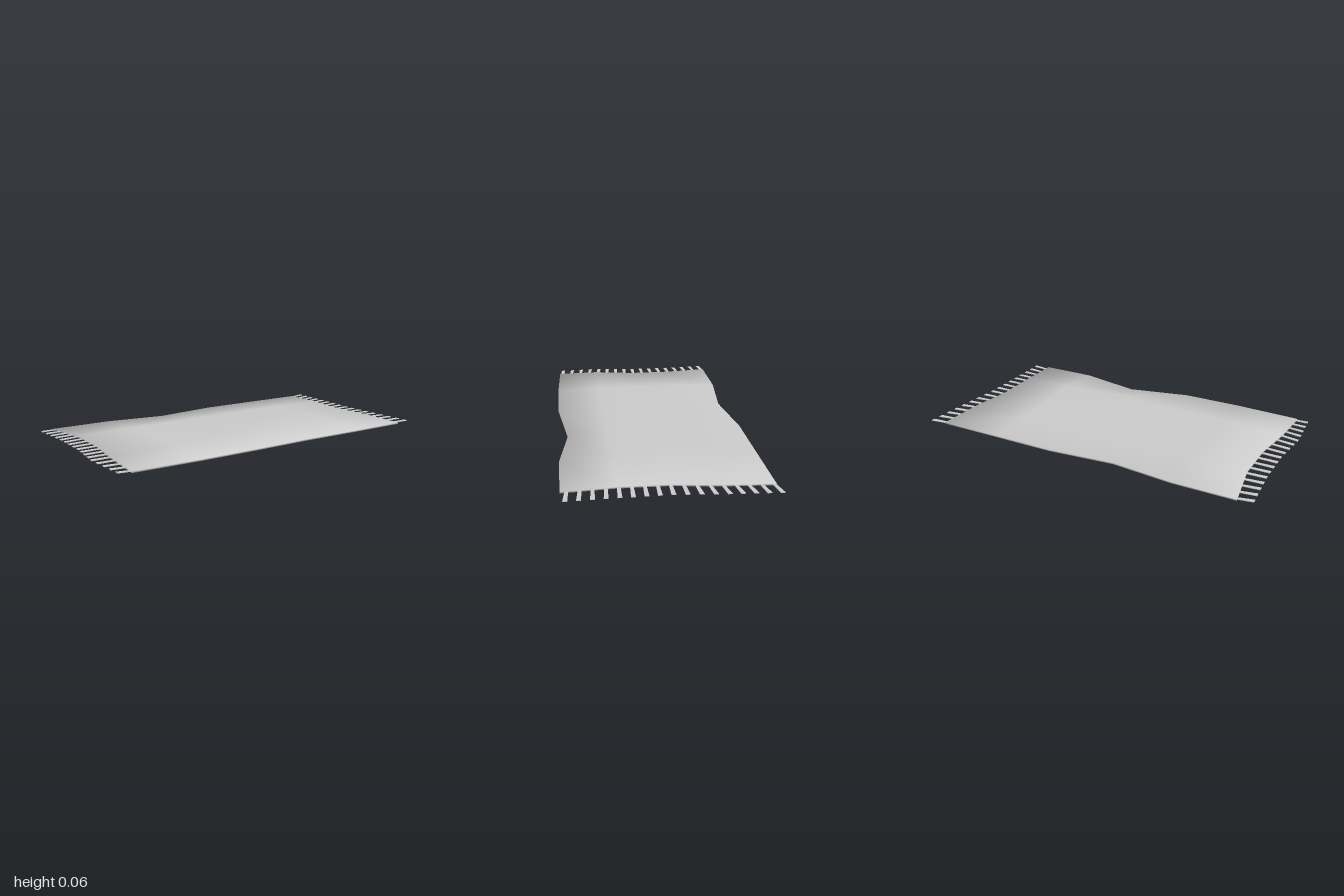
import * as THREE from 'three';

const COLS = 6, ROWS = 5, HALF = 0.0045;
const colX = [0, -0.55, -0.2, 0.18, 0.53, 0];
const rowZ = [-0.52, -0.25, 0, 0.25, 0.52];
const leftX = [-0.9, -0.86, -0.865, -0.905, -0.92];
const rightX = [0.91, 0.895, 0.86, 0.86, 0.865];

// mid-surface height of the cloth, row by row from back to front
const heights = [
  [0.019, 0.019, 0.016, 0.019, 0.019, 0.019],
  [0.024, 0.028, 0.028, 0.030, 0.029, 0.022],
  [0.023, 0.030, 0.035, 0.040, 0.034, 0.022],
  [0.026, 0.031, 0.038, 0.051, 0.039, 0.025],
  [0.018, 0.019, 0.019, 0.0045, 0.019, 0.019],
];

function clothPoint(r, c) {
  const x = c === 0 ? leftX[r] : c === COLS - 1 ? rightX[r] : colX[c];
  let z = rowZ[r];
  if (r === 0 && c === 2) z = -0.48; // pulled-in dents of the long edges
  if (r === ROWS - 1 && c === 3) z = 0.47;
  if (r === ROWS - 1 && c === 0) z = 0.505;
  return new THREE.Vector3(x, heights[r][c], z);
}

// thin closed slab whose rim is shaded as a soft rounded edge
function clothGeometry() {
  const N = COLS * ROWS, pos = [], index = [], ring = [];
  for (const s of [1, -1])
    for (let r = 0; r < ROWS; r++)
      for (let c = 0; c < COLS; c++) {
        const p = clothPoint(r, c);
        pos.push(p.x, p.y + s * HALF, p.z);
      }
  for (let r = 0; r < ROWS - 1; r++)
    for (let c = 0; c < COLS - 1; c++) {
      const a = r * COLS + c, b = a + COLS, d = a + 1, e = b + 1;
      index.push(a, b, d, b, e, d);
      index.push(N + a, N + d, N + b, N + b, N + d, N + e);
    }
  // rim walls, walked front, right, back, left
  for (let c = 0; c < COLS - 1; c++) ring.push((ROWS - 1) * COLS + c);
  for (let r = ROWS - 1; r > 0; r--) ring.push(r * COLS + COLS - 1);
  for (let c = COLS - 1; c > 0; c--) ring.push(c);
  for (let r = 0; r < ROWS - 1; r++) ring.push(r * COLS);
  ring.forEach((p, i) => {
    const q = ring[(i + 1) % ring.length];
    index.push(N + p, N + q, q, N + p, q, p);
  });
  const g = new THREE.BufferGeometry();
  g.setAttribute('position', new THREE.Float32BufferAttribute(pos, 3));
  g.setIndex(index);
  g.computeVertexNormals();

  // lean the rim normals outward
  const n = g.attributes.normal, v = new THREE.Vector3();
  for (const p of ring) {
    const r = Math.floor(p / COLS), c = p % COLS;
    const ox = c === 0 ? -1 : c === COLS - 1 ? 1 : 0;
    const oz = r === 0 ? -1 : r === ROWS - 1 ? 1 : 0;
    for (const i of [p, p + N]) {
      v.fromBufferAttribute(n, i);
      v.set(ox * 0.8, Math.sign(v.y || 1), oz * 0.8).normalize();
      if (i >= N) v.y = -Math.abs(v.y);
      n.setXYZ(i, v.x, v.y, v.z);
    }
  }
  return g;
}

// linear lookup along the rows
function along(values, z) {
  let i = 0;
  while (i < ROWS - 2 && z > rowZ[i + 1]) i++;
  return THREE.MathUtils.lerp(values[i], values[i + 1], (z - rowZ[i]) / (rowZ[i + 1] - rowZ[i]));
}

// flat thread from root to tip, a little wider at the tip
function threadGeometry(root, tip) {
  const g = new THREE.BoxGeometry(1, 0.004, 1);
  const p = g.attributes.position;
  for (let i = 0; i < p.count; i++) {
    const t = p.getX(i) + 0.5;
    const q = root.clone().lerp(tip, t);
    const side = Math.sign(tip.x - root.x);
    p.setXYZ(i, q.x, q.y + p.getY(i), q.z + side * p.getZ(i) * (0.017 + 0.006 * t));
  }
  g.computeVertexNormals();
  return g;
}

function fringe(name, edgeX, col, tipX, drift, material) {
  const group = new THREE.Group();
  group.name = name;
  const edgeY = heights.map((row) => row[col]);
  for (let i = 0; i < 17; i++) {
    const z = -0.508 + i * 0.0622;
    const root = new THREE.Vector3(along(edgeX, z) * 0.99, along(edgeY, z), z);
    const tip = new THREE.Vector3(along(tipX, z), 0.022, z + along(drift, z));
    const thread = new THREE.Mesh(threadGeometry(root, tip), material);
    thread.name = 'fringeThread';
    group.add(thread);
  }
  return group;
}

export function createModel() {
  const material = new THREE.MeshStandardMaterial({ color: 0xcccccc });
  const model = new THREE.Group();
  model.name = 'rug';

  const cloth = new THREE.Mesh(clothGeometry(), material);
  cloth.name = 'rugCloth';
  model.add(cloth);

  model.add(fringe('rightFringe', leftX, 0,
    [-0.98, -0.965, -0.97, -1.0, -0.985], [0.014, 0.008, -0.002, -0.014, -0.004], material));
  model.add(fringe('leftFringe', rightX, COLS - 1,
    [1.0, 0.98, 0.955, 0.955, 0.96], [-0.016, -0.016, 0, 0.004, 0.01], material));
  return model;
}
